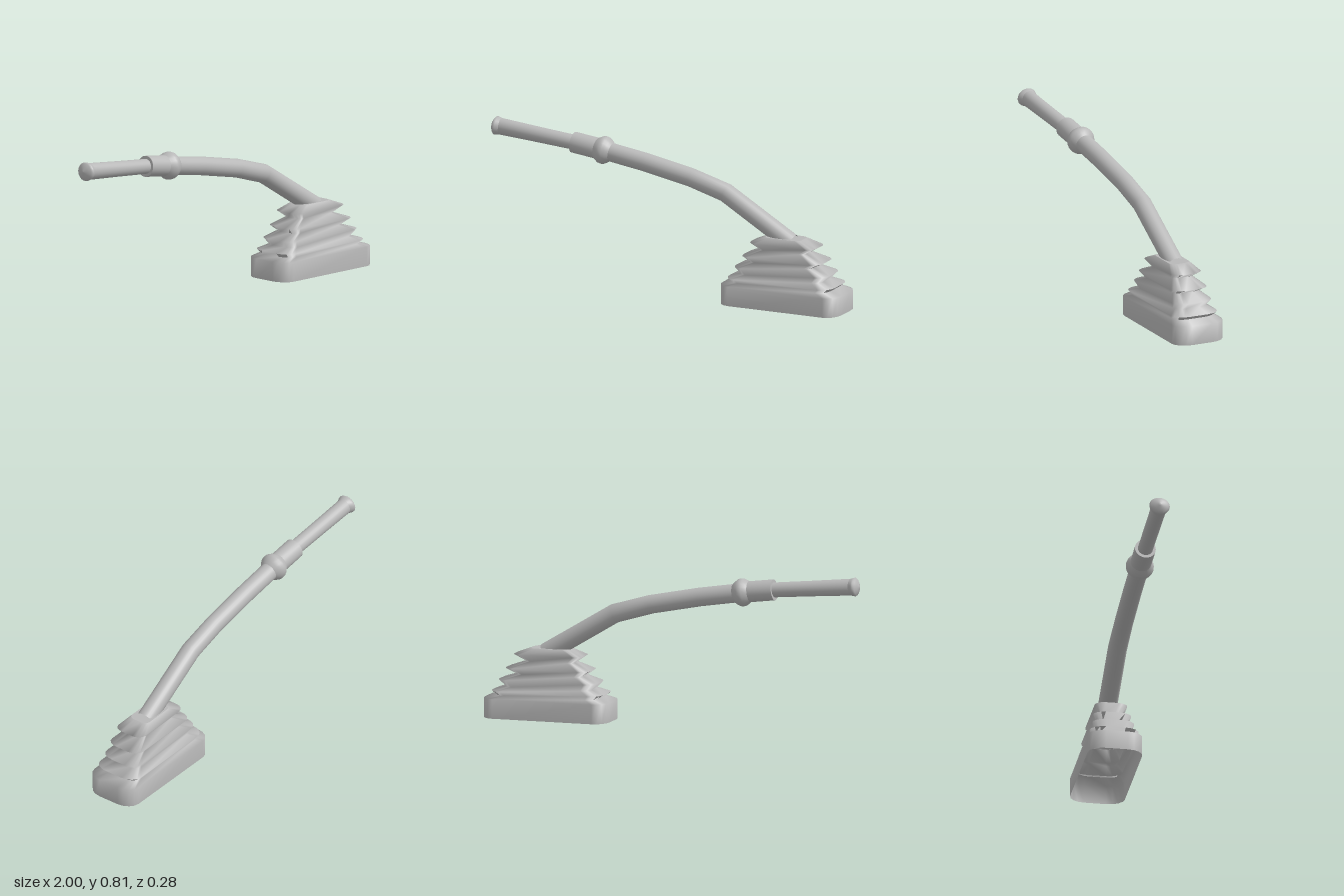
import * as THREE from 'three';

const grey = new THREE.MeshStandardMaterial({ color: 0xb8b8b8, side: THREE.DoubleSide });
grey.name = 'plain grey';

// Skin a stack of closed rings (arrays of Vector3); optionally close the last ring.
function loft(rings, capEnd) {
  const n = rings[0].length;
  const positions = [];
  const index = [];
  rings.forEach((ring) => ring.forEach((p) => positions.push(p.x, p.y, p.z)));
  for (let r = 0; r < rings.length - 1; r++) {
    for (let i = 0; i < n; i++) {
      const j = (i + 1) % n;
      const a = r * n + i, b = r * n + j, c = a + n, d = b + n;
      index.push(a, c, b, b, c, d);
    }
  }
  if (capEnd) {
    const last = rings[rings.length - 1];
    const mid = last.reduce((s, p) => s.add(p), new THREE.Vector3()).divideScalar(n);
    const start = positions.length / 3;
    last.forEach((p) => positions.push(p.x, p.y, p.z));
    positions.push(mid.x, mid.y, mid.z);
    for (let i = 0; i < n; i++) index.push(start + i, start + n, start + (i + 1) % n);
  }
  const geometry = new THREE.BufferGeometry();
  geometry.setAttribute('position', new THREE.Float32BufferAttribute(positions, 3));
  geometry.setIndex(index);
  geometry.computeVertexNormals();
  return geometry;
}

// Rounded rectangle ring lying flat at height y.
function bootRing([y, x0, x1, hz]) {
  const cx = (x0 + x1) / 2, hx = (x1 - x0) / 2;
  const rx = hz * 0.48, rz = hz * 0.6;
  const ring = [];
  for (let q = 0; q < 4; q++) {
    const sx = q === 0 || q === 3 ? 1 : -1;
    const sz = q < 2 ? 1 : -1;
    for (let k = 0; k <= 4; k++) {
      const a = (q + k / 4) * Math.PI / 2;
      ring.push(new THREE.Vector3(
        cx + sx * (hx - rx) + rx * Math.cos(a), y, sz * (hz - rz) + rz * Math.sin(a)));
    }
  }
  return ring;
}

// Elliptical sweep along stations [x, y, radius in the xy plane, radius in z].
function sweep(stations, capEnd = false) {
  const pts = stations.map(([x, y]) => new THREE.Vector2(x, y));
  const rings = stations.map(([x, y, ry, rz = ry], i) => {
    const dir = new THREE.Vector2();
    if (i > 0) dir.add(pts[i].clone().sub(pts[i - 1]).normalize());
    if (i < pts.length - 1) dir.add(pts[i + 1].clone().sub(pts[i]).normalize());
    dir.normalize();
    const ring = [];
    for (let k = 0; k < 24; k++) {
      const a = k / 24 * Math.PI * 2;
      const u = Math.cos(a) * ry;
      ring.push(new THREE.Vector3(x + dir.y * u, y - dir.x * u, Math.sin(a) * rz));
    }
    return ring;
  });
  return loft(rings, capEnd);
}

// Stations on a straight axis: profile entries are [fraction, ry, rz].
function along([ax, ay], [bx, by], profile) {
  return profile.map(([t, ry, rz]) => [ax + (bx - ax) * t, ay + (by - ay) * t, ry, rz]);
}

export function createModel() {
  const model = new THREE.Group();
  const add = (name, geometry) => {
    const mesh = new THREE.Mesh(geometry, grey);
    mesh.name = name;
    model.add(mesh);
  };

  // Bellows boot, open underneath: [height, min x, max x, half depth]
  add('bellowsBoot', loft([
    [0, 0.33, 1.0, 0.141],
    [0.1, 0.33, 1.0, 0.141],
    [0.118, 0.385, 0.935, 0.117],
    [0.138, 0.365, 0.96, 0.128],
    [0.16, 0.43, 0.89, 0.092],
    [0.195, 0.4, 0.925, 0.109],
    [0.225, 0.48, 0.83, 0.075],
    [0.255, 0.44, 0.89, 0.099],
    [0.292, 0.53, 0.785, 0.058],
    [0.327, 0.48, 0.848, 0.084],
    [0.36, 0.56, 0.76, 0.056],
  ].map(bootRing), true));

  // Bent lever rod
  add('leverRod', sweep([
    [0.69, 0.333, 0.049],
    [0.32, 0.555, 0.049],
    [0.125, 0.612, 0.048],
    [-0.14, 0.664, 0.048],
    [-0.4, 0.704, 0.048],
  ]));

  // Rounded ring and sleeve where rod meets handle
  add('ringBulge', sweep(along([-0.325, 0.694], [-0.415, 0.706], [
    [0, 0.047], [0.15, 0.059], [0.35, 0.07], [0.5, 0.072], [0.65, 0.07], [0.85, 0.059], [1, 0.05],
  ])));
  add('sleeve', sweep(along([-0.39, 0.703], [-0.54, 0.722], [
    [0, 0.054], [1, 0.054],
  ]), true));

  // Slim handle with flared, domed end
  add('handle', sweep(along([-0.52, 0.72], [-0.975, 0.76], [
    [0, 0.038, 0.039], [0.5, 0.04, 0.039], [0.95, 0.043, 0.04],
  ])));
  add('handleEnd', sweep(along([-0.95, 0.758], [-1.0, 0.762], [
    [0, 0.042, 0.04], [0.35, 0.046, 0.05], [0.55, 0.048, 0.053],
    [0.7, 0.042, 0.044], [0.88, 0.026, 0.026], [1, 0.004, 0.004],
  ]), true));

  return model;
}
